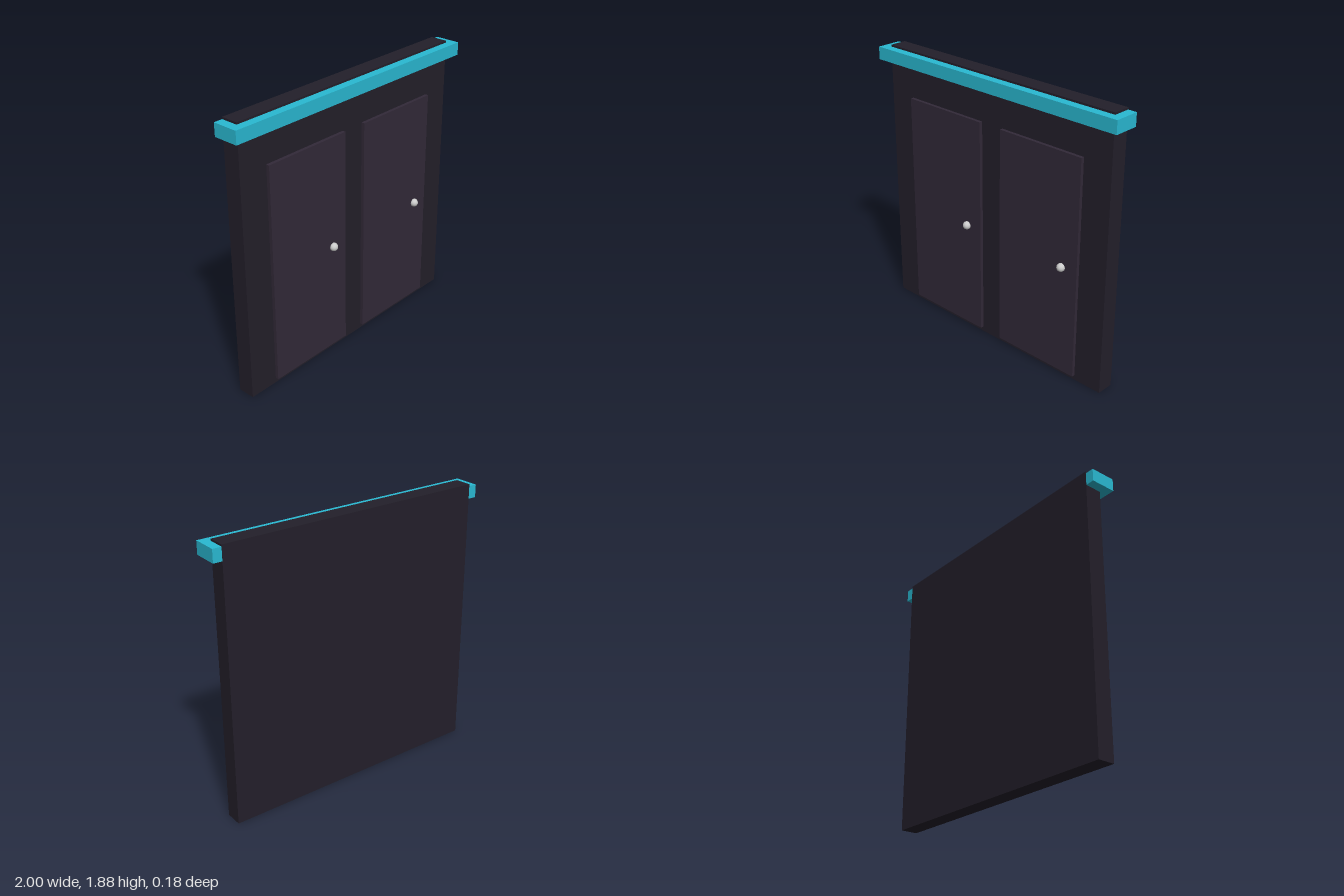
import * as THREE from 'three';

const paint = (color) => new THREE.MeshStandardMaterial({ color });

// Box given by its min and max corners
function slab(name, [x0, y0, z0], [x1, y1, z1], material) {
  const mesh = new THREE.Mesh(new THREE.BoxGeometry(x1 - x0, y1 - y0, z1 - z0), material);
  mesh.position.set((x0 + x1) / 2, (y0 + y1) / 2, (z0 + z1) / 2);
  mesh.name = name;
  return mesh;
}

export function createModel() {
  const model = new THREE.Group();
  model.name = 'doubleDoorWall';
  const wallPaint = paint(0x231f2a);
  const doorPaint = paint(0x322938);
  const trimPaint = paint(0x29b9d2);
  const knobMetal = paint(0xcccccc);

  // Wall panel and the trim band around its top
  model.add(slab('wall', [-0.94, 0, -0.088], [0.94, 1.883, 0.03], wallPaint));
  model.add(slab('topTrim', [-1, 1.783, -0.087], [1, 1.87, 0.088], trimPaint));

  // Two equal doors, each with a round knob on the +x side
  const knobGeometry = new THREE.SphereGeometry(0.028, 24, 16);
  for (const [side, x] of [['right', -0.412], ['left', 0.412]]) {
    const door = new THREE.Group();
    door.name = side + 'Door';
    door.position.x = x;
    door.add(slab(side + 'DoorPanel', [-0.324, 0.035, 0.02], [0.324, 1.56, 0.053], doorPaint));
    const knob = new THREE.Mesh(knobGeometry, knobMetal);
    knob.name = side + 'Knob';
    knob.position.set(0.204, 0.797, 0.06);
    door.add(knob);
    model.add(door);
  }
  return model;
}
